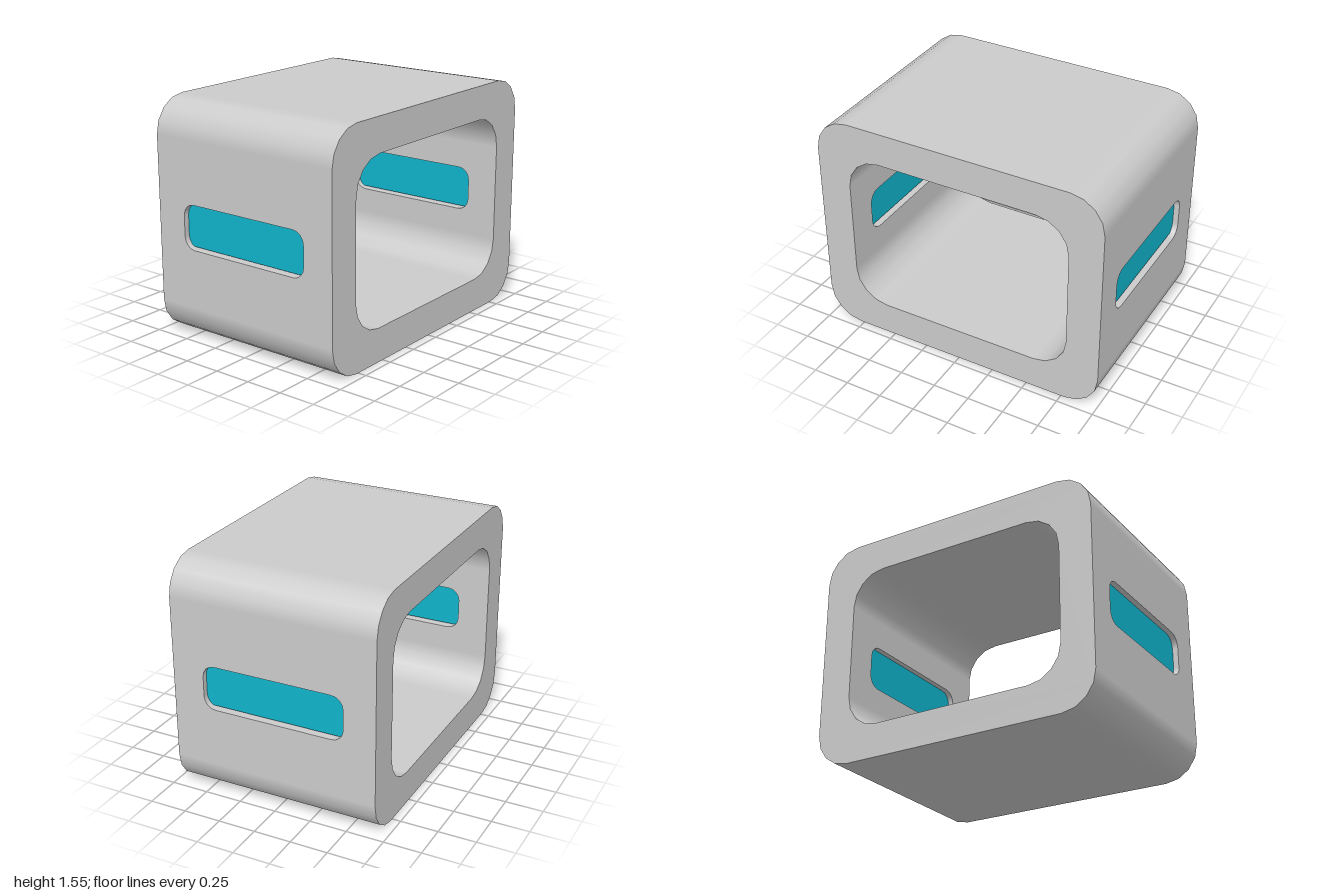
import * as THREE from 'three';
import { mergeGeometries } from 'three/addons/utils/BufferGeometryUtils.js';

const WIDTH = 1.386, MID_Y = 0.775, SLOT_Y = 0.765, SEG = 4;
const OUTER = { w: 2, h: 1.55, r: 0.23 };
const INNER = { w: 1.55, h: 1.1, r: 0.225 };
const SLOT = { w: 0.96, h: 0.296, r: 0.08 };

// Counter-clockwise rounded rectangle: positions with outward normals
function roundedLoop({ w, h, r }) {
  const loop = [];
  for (let k = 0; k < 4; k++) {
    const cx = (k === 0 || k === 3 ? 1 : -1) * (w / 2 - r);
    const cy = (k < 2 ? 1 : -1) * (h / 2 - r);
    for (let i = 0; i <= SEG; i++) {
      const a = (k + i / SEG) * Math.PI / 2;
      const n = new THREE.Vector2(Math.cos(a), Math.sin(a));
      loop.push({ n, p: new THREE.Vector2(cx + n.x * r, cy + n.y * r) });
    }
  }
  return loop;
}

const points = (size, dy = 0) => roundedLoop(size).map(({ p }) => new THREE.Vector2(p.x, p.y + dy));

// Smooth wall swept along z; optionally facing inward or open on its left and right sides
function sweptWall(size, depth, inward, openSides) {
  const loop = roundedLoop(size), pos = [], nor = [], s = inward ? -1 : 1;
  loop.forEach((a, i) => {
    const side = i === 2 * SEG + 1 || i === loop.length - 1;
    if (openSides && side) return;
    const b = loop[(i + 1) % loop.length];
    const quad = [[a, -1], [b, -1], [b, 1], [a, -1], [b, 1], [a, 1]];
    if (inward) quad.reverse();
    for (const [v, z] of quad) {
      pos.push(v.p.x, v.p.y, z * depth / 2);
      nor.push(v.n.x * s, v.n.y * s, 0);
    }
  });
  const g = new THREE.BufferGeometry();
  g.setAttribute('position', new THREE.Float32BufferAttribute(pos, 3));
  g.setAttribute('normal', new THREE.Float32BufferAttribute(nor, 3));
  return g;
}

// Flat face with one hole, facing +z
function holedFace(outline, hole) {
  const shape = new THREE.Shape(outline);
  shape.holes.push(new THREE.Path(hole));
  const g = new THREE.ShapeGeometry(shape).toNonIndexed();
  g.deleteAttribute('uv');
  return g;
}

// Flat wall face of the given height, pierced by the slot
function slottedFace(height) {
  const x = WIDTH / 2, y = height / 2;
  const rect = [[-x, -y], [x, -y], [x, y], [-x, y]].map(([u, v]) => new THREE.Vector2(u, v));
  return holedFace(rect, points(SLOT, SLOT_Y - MID_Y));
}

export function createModel() {
  const model = new THREE.Group();
  const grey = new THREE.MeshStandardMaterial({ color: 0xcccccc });
  const cyan = new THREE.MeshStandardMaterial({ color: 0x10b4cc });
  const parts = [];

  // Rounded shell, open along x
  parts.push(sweptWall(OUTER, WIDTH, false, true).rotateY(Math.PI / 2));
  parts.push(sweptWall(INNER, WIDTH, true, true).rotateY(Math.PI / 2));

  // End rims
  for (const side of [1, -1]) {
    parts.push(holedFace(points(OUTER), points(INNER))
      .translate(0, 0, WIDTH / 2).rotateY(side * Math.PI / 2));
  }

  // Front and back walls with their slots
  const thickness = (OUTER.w - INNER.w) / 2;
  const wallZ = (OUTER.w + INNER.w) / 4;
  for (const turn of [0, Math.PI]) {
    parts.push(slottedFace(OUTER.h - 2 * OUTER.r).translate(0, 0, OUTER.w / 2).rotateY(turn));
    parts.push(slottedFace(INNER.h - 2 * INNER.r).rotateY(Math.PI)
      .translate(0, 0, INNER.w / 2).rotateY(turn));
    parts.push(sweptWall(SLOT, thickness, true, false)
      .translate(0, SLOT_Y - MID_Y, wallZ).rotateY(turn));
  }
  const shell = new THREE.Mesh(mergeGeometries(parts), grey);
  shell.name = 'shell';
  shell.position.y = MID_Y;
  model.add(shell);

  // Recessed window panels, with a thin gap beneath
  for (const [name, side] of [['frontWindow', 1], ['backWindow', -1]]) {
    const pane = new THREE.Mesh(new THREE.BoxGeometry(SLOT.w, 0.29, 0.15), cyan);
    pane.name = name;
    pane.position.set(0, 0.773, side * wallZ);
    model.add(pane);
  }
  return model;
}
